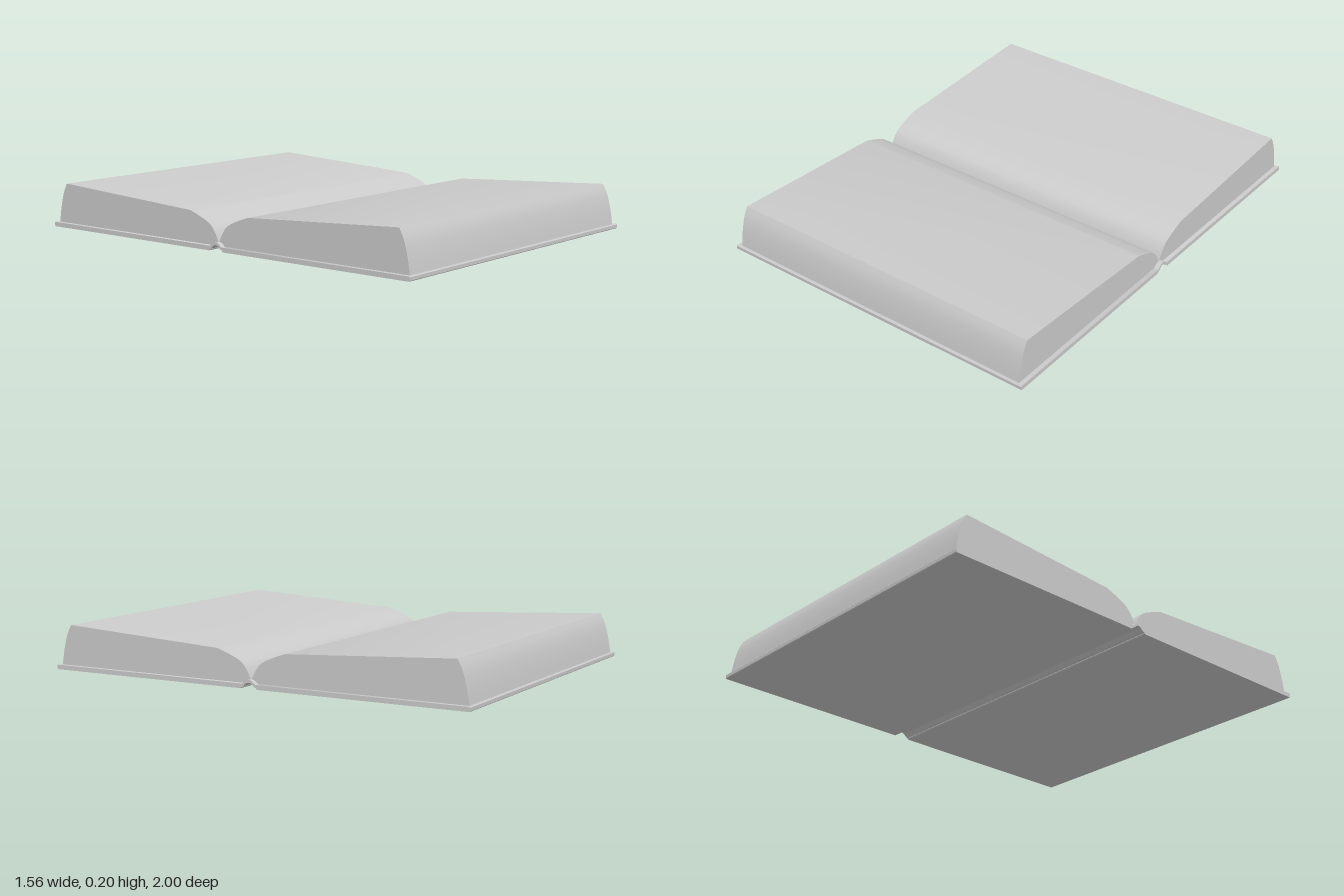
import * as THREE from 'three';
import { toCreasedNormals } from 'three/addons/utils/BufferGeometryUtils.js';

const material = new THREE.MeshStandardMaterial({ color: 0xcccccc });

// Extrude a side profile of [z, y] points across x, centred on x = 0
function profileMesh(name, points, halfWidth, crease = 0.5) {
  const shape = new THREE.Shape(points.map(([z, y]) => new THREE.Vector2(z, y)));
  const geometry = new THREE.ExtrudeGeometry(shape, { depth: halfWidth * 2, bevelEnabled: false });
  geometry.translate(0, 0, -halfWidth);
  geometry.rotateY(-Math.PI / 2);
  const mesh = new THREE.Mesh(toCreasedNormals(geometry, crease), material);
  mesh.name = name;
  return mesh;
}

const curve = (points, n) =>
  new THREE.SplineCurve(points.map(p => new THREE.Vector2(...p))).getPoints(n).map(p => [p.x, p.y]);

export function createModel() {
  const book = new THREE.Group();
  book.name = 'openBook';

  // Page block: curved fore edge, sloping top, rounded fall into the gutter
  const foreEdge = curve([[0.987, 0.02], [0.975, 0.09], [0.957, 0.155], [0.935, 0.198]], 8);
  const gutter = curve([[0.165, 0.155], [0.11, 0.136], [0.05, 0.108], [0.02, 0.072], [0.002, 0.036]], 10);
  const pages = [...foreEdge, ...gutter, [0.018, 0.034], [0.035, 0.02]];

  // Cover board with slightly eased edges
  const board = [[0.036, 0.004], [0.04, 0], [0.997, 0], [1, 0.003], [1, 0.017], [0.997, 0.02], [0.04, 0.02], [0.036, 0.018]];

  for (const [side, s] of [['front', 1], ['back', -1]]) {
    const flip = pts => pts.map(([z, y]) => [z * s, y]);
    book.add(profileMesh(side + 'Pages', flip(pages), 0.76));
    book.add(profileMesh(side + 'Cover', flip(board), 0.78));
  }

  // Thin spine strip arching up between the two boards
  const top = curve([[-0.042, 0.019], [-0.03, 0.021], [-0.015, 0.034], [0, 0.038], [0.015, 0.034], [0.03, 0.021], [0.042, 0.019]], 16);
  const under = curve([[0.042, 0.006], [0.028, 0.009], [0.013, 0.022], [0, 0.026], [-0.013, 0.022], [-0.028, 0.009], [-0.042, 0.006]], 16);
  book.add(profileMesh('spine', [...top, ...under], 0.78));

  return book;
}
